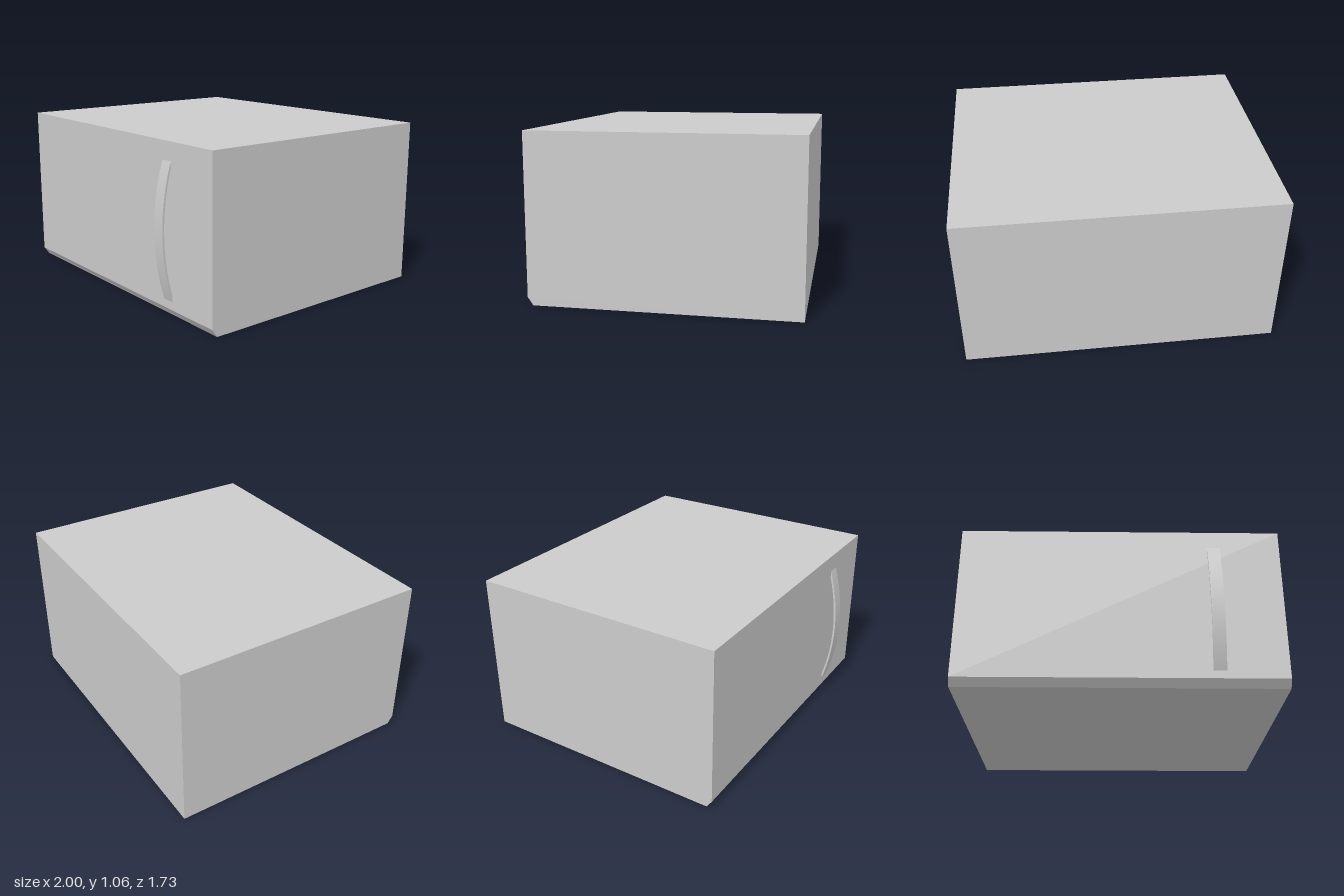
import * as THREE from 'three';
import { toCreasedNormals } from 'three/addons/utils/BufferGeometryUtils.js';

const material = new THREE.MeshStandardMaterial({ color: 0xcccccc });

// Extrude a side profile drawn in (z, y) across the width, centred on x = 0
function extrudeAcross(shape, width, curveSegments = 1) {
  const geometry = new THREE.ExtrudeGeometry(shape, { depth: width, bevelEnabled: false, curveSegments });
  geometry.translate(0, 0, -width / 2);
  geometry.rotateY(-Math.PI / 2);
  return toCreasedNormals(geometry, 0.5);
}

function addPart(group, name, geometry) {
  const mesh = new THREE.Mesh(geometry, material);
  mesh.name = name;
  group.add(mesh);
  return mesh;
}

export function createModel() {
  const model = new THREE.Group();
  model.name = 'boxCabinet';

  const front = 0.8, back = -0.865, height = 1.06;

  // Body: plain box with a chamfer along the lower front edge
  const body = new THREE.Shape([
    [back, 0], [0.765, 0], [front, 0.05], [front, height], [back, height],
  ].map(([z, y]) => new THREE.Vector2(z, y)));
  addPart(model, 'body', extrudeAcross(body, 2));

  // Handle: thin bowed strip whose ends meet the front face
  const outer = 1.406, inner = 1.393;
  const centreZ = 0.865 - outer, centreY = 0.523;
  const outerAngle = Math.acos((front - centreZ) / outer);
  const innerAngle = Math.acos((front - centreZ) / inner);
  const bow = new THREE.Shape();
  bow.absarc(centreZ, centreY, outer, -outerAngle, outerAngle, false);
  bow.absarc(centreZ, centreY, inner, innerAngle, -innerAngle, true);
  bow.closePath();
  const handle = addPart(model, 'doorHandle', extrudeAcross(bow, 0.08, 20));
  handle.position.x = 0.585;

  return model;
}
